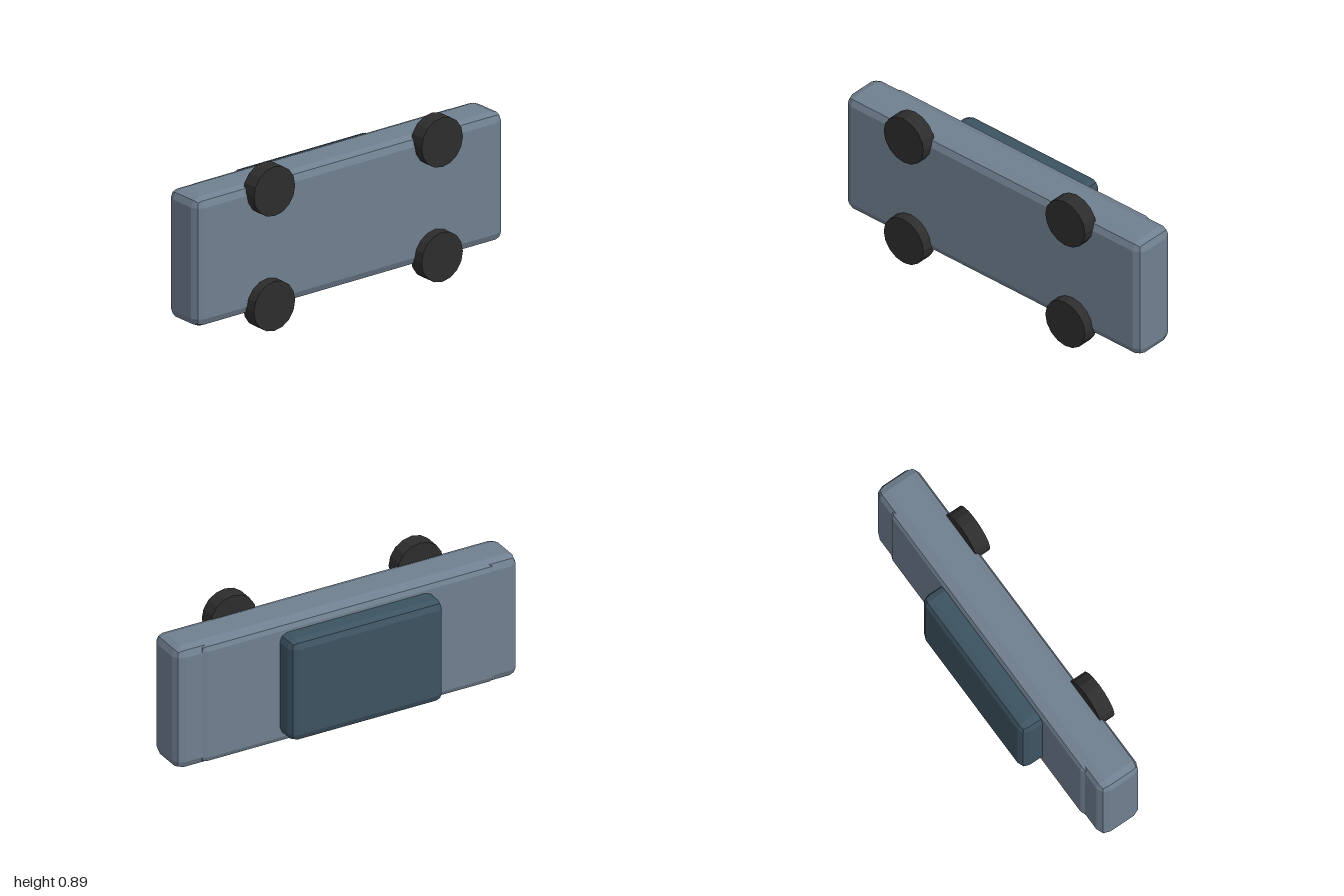
import * as THREE from 'three';
import { RoundedBoxGeometry } from 'three/addons/geometries/RoundedBoxGeometry.js';

const paint = (name, color) => new THREE.MeshStandardMaterial({ name, color, flatShading: true });

export function createModel() {
  const car = new THREE.Group();
  car.name = 'car';
  const bodyPaint = paint('slate body', 0x708090);
  const cabinPaint = paint('dark blue cabin', 0x3d5361);
  const tyrePaint = paint('black tyre', 0x2d2d2d);

  // Bevelled block given by its [min, max] range on each axis
  function block(name, x, y, z, radius, material) {
    const geometry = new RoundedBoxGeometry(x[1] - x[0], y[1] - y[0], z[1] - z[0], 1, radius);
    const mesh = new THREE.Mesh(geometry, material);
    mesh.position.set((x[0] + x[1]) / 2, (y[0] + y[1]) / 2, (z[0] + z[1]) / 2);
    mesh.name = name;
    car.add(mesh);
  }

  // Car on its side: wheels face +z, cabin faces -z
  block('body', [-1, 1], [0.095, 0.795], [-0.085, 0.16], 0.05, bodyPaint);
  block('deck', [-0.86, 0.86], [0.105, 0.785], [-0.095, 0.05], 0.035, bodyPaint);
  block('cabin', [-0.49, 0.405], [0.155, 0.735], [-0.217, -0.03], 0.045, cabinPaint);

  // Four wheels with their axles along z
  const wheelGeometry = new THREE.CylinderGeometry(0.134, 0.134, 0.087, 16).rotateX(Math.PI / 2);
  for (const x of [-0.545, 0.545]) {
    for (const y of [0.134, 0.755]) {
      const wheel = new THREE.Mesh(wheelGeometry, tyrePaint);
      wheel.position.set(x, y, 0.1735);
      wheel.name = 'wheel';
      car.add(wheel);
    }
  }
  return car;
}
